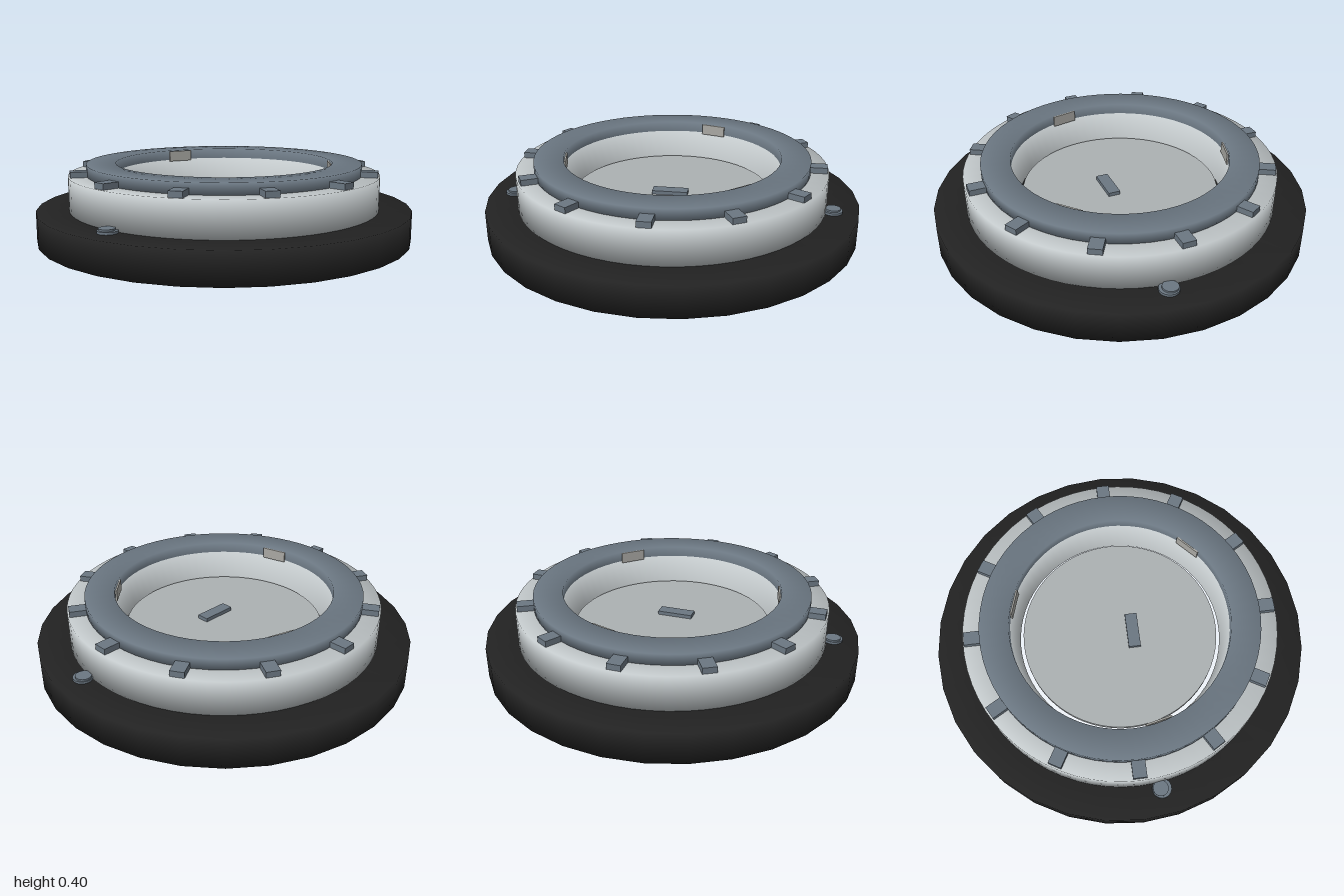
import * as THREE from 'three';

const mat = (name, color, side = THREE.FrontSide) => {
  const m = new THREE.MeshStandardMaterial({ color, side });
  m.name = name;
  return m;
};

export function createModel() {
  const group = new THREE.Group();
  const rubber = mat('black rubber', 0x222222);
  const shell = mat('light grey', 0xc2c8ca);
  const steel = mat('blue grey', 0x6b7782);
  const pane = mat('pane grey', 0xacb1b3);
  const tab = mat('tab grey', 0xa9a8a3);

  const add = (name, geometry, material, x = 0, y = 0, z = 0, parent = group) => {
    const mesh = new THREE.Mesh(geometry, material);
    mesh.name = name;
    mesh.position.set(x, y, z);
    parent.add(mesh);
    return mesh;
  };

  // Closed ring from a counter-clockwise [radius, height] section
  const ring = (section, sides) => new THREE.LatheGeometry(
    [...section, section[0]].map(([r, y]) => new THREE.Vector2(r, y)), sides);

  // Stacked rings
  add('baseRing', ring([[0.645, 0], [1, 0], [1, 0.16], [0.645, 0.16]], 32), rubber);
  add('bodyRing', ring([[0.547, 0.16], [0.83, 0.16], [0.83, 0.34], [0.58, 0.34]], 64), shell);
  add('topRing', ring([[0.58, 0.33], [0.735, 0.33], [0.735, 0.397], [0.58, 0.397]], 64), steel);

  // Round pane, with a small gap to the body
  add('pane', new THREE.CylinderGeometry(0.527, 0.527, 0.03, 64), pane, 0, 0.182, 0);
  add('paneBar', new THREE.BoxGeometry(0.19, 0.02, 0.065), steel, 0, 0.207, 0.07);

  // Twelve clips around the top ring
  const clip = new THREE.BoxGeometry(0.07, 0.035, 0.1);
  for (let i = 0; i < 12; i++) {
    const a = (i / 12) * Math.PI * 2;
    add('clip', clip, steel, Math.sin(a) * 0.77, 0.353, Math.cos(a) * 0.77).rotation.y = a;
  }

  // Three tabs inside the opening
  const tabPlate = new THREE.BoxGeometry(0.14, 0.06, 0.009);
  for (let i = 0; i < 3; i++) {
    const a = THREE.MathUtils.degToRad(43 + i * 120);
    add('innerTab', tabPlate, tab, Math.sin(a) * 0.569, 0.362, Math.cos(a) * 0.569).rotation.y = a;
  }

  // Pins on both sides of the base
  for (const s of [-1, 1]) {
    const pin = new THREE.Group();
    pin.name = s > 0 ? 'leftPin' : 'rightPin';
    pin.position.set(s * 0.857, 0.16, 0.112);
    group.add(pin);
    add('pinBase', new THREE.CylinderGeometry(0.05, 0.05, 0.012, 24), steel, 0, 0.006, 0, pin);
    add('pinCap', new THREE.CylinderGeometry(0.04, 0.04, 0.012, 24), steel, 0, 0.015, -0.006, pin);
  }

  return group;
}
